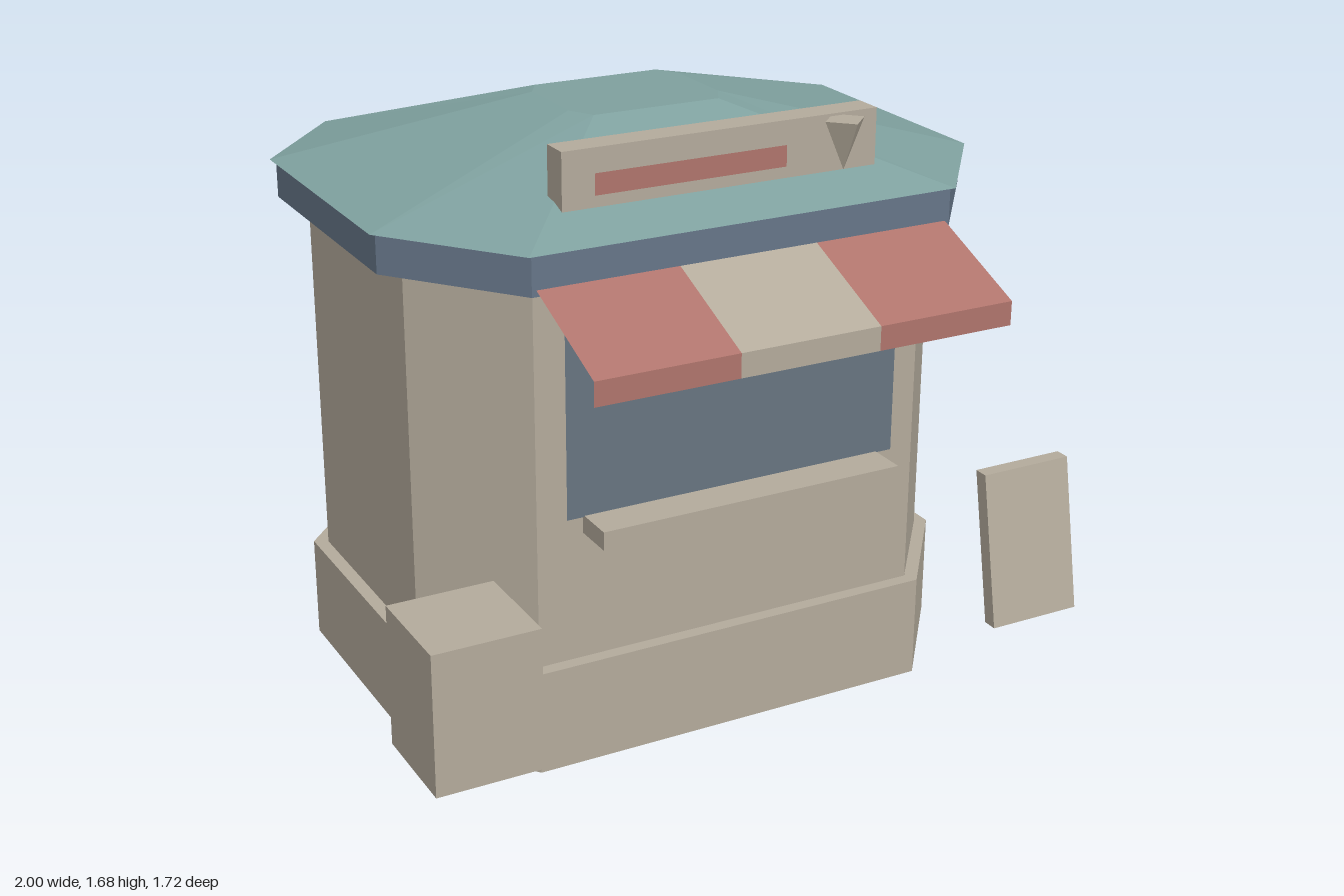
import * as THREE from 'three';

const CX = 0.029; // centre line of the kiosk body

function material(name, color, side = THREE.FrontSide) {
  const m = new THREE.MeshStandardMaterial({ color, side, flatShading: true });
  m.name = name;
  return m;
}

// Chamfered rectangle: half width hx, front and back z; then the same for its straight edges
function octagon(hx, zf, zb, fx, ef, eb) {
  return [[fx, zf], [hx, ef], [hx, eb], [fx, zb], [-fx, zb], [-hx, eb], [-hx, ef], [-fx, zf]];
}

function triangles(p) {
  const g = new THREE.BufferGeometry();
  g.setAttribute('position', new THREE.Float32BufferAttribute(p, 3));
  g.computeVertexNormals();
  return g;
}

// Solid between a lower and an upper octagon, its floor left out if open
function octagonSolid(y0, lower, y1, upper, open) {
  const lo = octagon(...lower).map(([x, z]) => [CX + x, y0, z]);
  const hi = octagon(...upper).map(([x, z]) => [CX + x, y1, z]);
  const p = [];
  for (let i = 0; i < 8; i++) {
    const j = (i + 1) % 8;
    p.push(...lo[i], ...lo[j], ...hi[j], ...lo[i], ...hi[j], ...hi[i]);
    if (i > 0 && i < 7) {
      p.push(...hi[0], ...hi[i], ...hi[j]);
      if (!open) p.push(...lo[0], ...lo[j], ...lo[i]);
    }
  }
  return triangles(p);
}

// Box given by its extents on each axis
function boxBetween(x0, x1, y0, y1, z0, z1) {
  return new THREE.BoxGeometry(x1 - x0, y1 - y0, z1 - z0)
    .translate((x0 + x1) / 2, (y0 + y1) / 2, (z0 + z1) / 2);
}

// Upright flat panel facing +z, turned by angle, then moved to (x, z)
function panel(width, y0, y1, x, z, angle) {
  return new THREE.PlaneGeometry(width, y1 - y0).rotateY(angle).translate(x, (y0 + y1) / 2, z);
}

export function createModel() {
  const tan = material('stone tan', 0xb4ab9c, THREE.DoubleSide);
  const red = material('faded red', 0xaf746c, THREE.DoubleSide);
  const teal = material('roof teal', 0x7fa19f);
  const slate = material('trim slate', 0x667689);
  const glass = material('window slate', 0x677480);

  const group = new THREE.Group();
  group.name = 'kiosk';
  const add = (name, geometry, mat) => {
    const mesh = new THREE.Mesh(geometry, mat);
    mesh.name = name;
    group.add(mesh);
    return mesh;
  };

  // Body: hollow plinth, walls, fascia and hipped roof
  const base = [0.845, 0.505, -0.804, 0.595, 0.188, -0.532];
  const wall = [0.807, 0.467, -0.772, 0.578, 0.179, -0.512];
  const trim = [0.883, 0.541, -0.847, 0.613, 0.201, -0.546];
  const eave = [0.898, 0.551, -0.864, 0.623, 0.203, -0.555];
  const crown = [0.23, 0.035, -0.332, 0.19, -0.038, -0.266];
  add('base', octagonSolid(0, base, 0.297, base, true), tan);
  add('walls', octagonSolid(0.297, wall, 1.363, wall, true), tan);
  add('fascia', octagonSolid(1.363, trim, 1.47, trim, false), slate);
  add('roof', octagonSolid(1.47, eave, 1.648, crown, false), teal);

  // Serving window
  add('windowFrame', panel(1.105, 0.662, 1.305, CX, 0.475, 0), tan);
  add('servingWindow', panel(0.997, 0.715, 1.25, CX, 0.483, 0), glass);
  add('counter', boxBetween(-0.42, 0.479, 0.666, 0.718, 0.467, 0.595), tan);

  // Side panels, mirrored
  for (const s of [1, -1]) {
    const side = s > 0 ? 'left' : 'right';
    const x = (d) => CX + s * (0.807 + d);
    add(side + 'PanelFrame', panel(0.624, 0.712, 1.28, x(0.009), -0.168, s * Math.PI / 2), tan);
    add(side + 'Panel', panel(0.512, 0.768, 1.225, x(0.017), -0.168, s * Math.PI / 2), tan);
  }

  // Back door
  add('doorFrame', panel(0.55, 0.297, 1.28, CX, -0.781, Math.PI), tan);
  add('door', panel(0.44, 0.297, 1.225, CX, -0.79, Math.PI), red);

  // Striped awning: a sloping sheet with a hanging valance, three stripes
  const profile = [[1.411, 0.467], [1.252, 0.852], [1.186, 0.852]];
  const edges = [-0.572, -0.173, 0.229, 0.629];
  for (let i = 0; i < 3; i++) {
    const [x0, x1] = [edges[i], edges[i + 1]];
    const p = [];
    for (let k = 0; k < 2; k++) {
      const [yt, zt] = profile[k], [yb, zb] = profile[k + 1];
      p.push(x0, yb, zb, x1, yb, zb, x1, yt, zt, x0, yb, zb, x1, yt, zt, x0, yt, zt);
    }
    add('awningStripe' + (i + 1), triangles(p), i === 1 ? tan : red);
  }

  // Roof sign with painted band and lamp
  add('signBoard', boxBetween(-0.435, 0.489, 1.518, 1.676, 0.323, 0.405), tan);
  add('signBand', panel(0.557, 1.553, 1.611, -0.067, 0.411, 0), red);
  const lamp = add('signLamp', new THREE.ConeGeometry(0.06, 0.136, 4).rotateX(Math.PI), tan);
  lamp.position.set(0.365, 1.601, 0.445);

  // Crate beside the kiosk
  add('crate', boxBetween(-1, -0.708, 0.233, 0.626, 0.545, 0.833), tan);

  // Leaning board, sheared backwards
  const board = boxBetween(0.72, 1, 0.233, 0.668, 0.71, 0.752);
  const pos = board.attributes.position;
  for (let i = 0; i < pos.count; i++) {
    if (pos.getY(i) > 0.5) pos.setZ(i, pos.getZ(i) - 0.084);
  }
  board.computeVertexNormals();
  add('leaningBoard', board, tan);

  return group;
}
